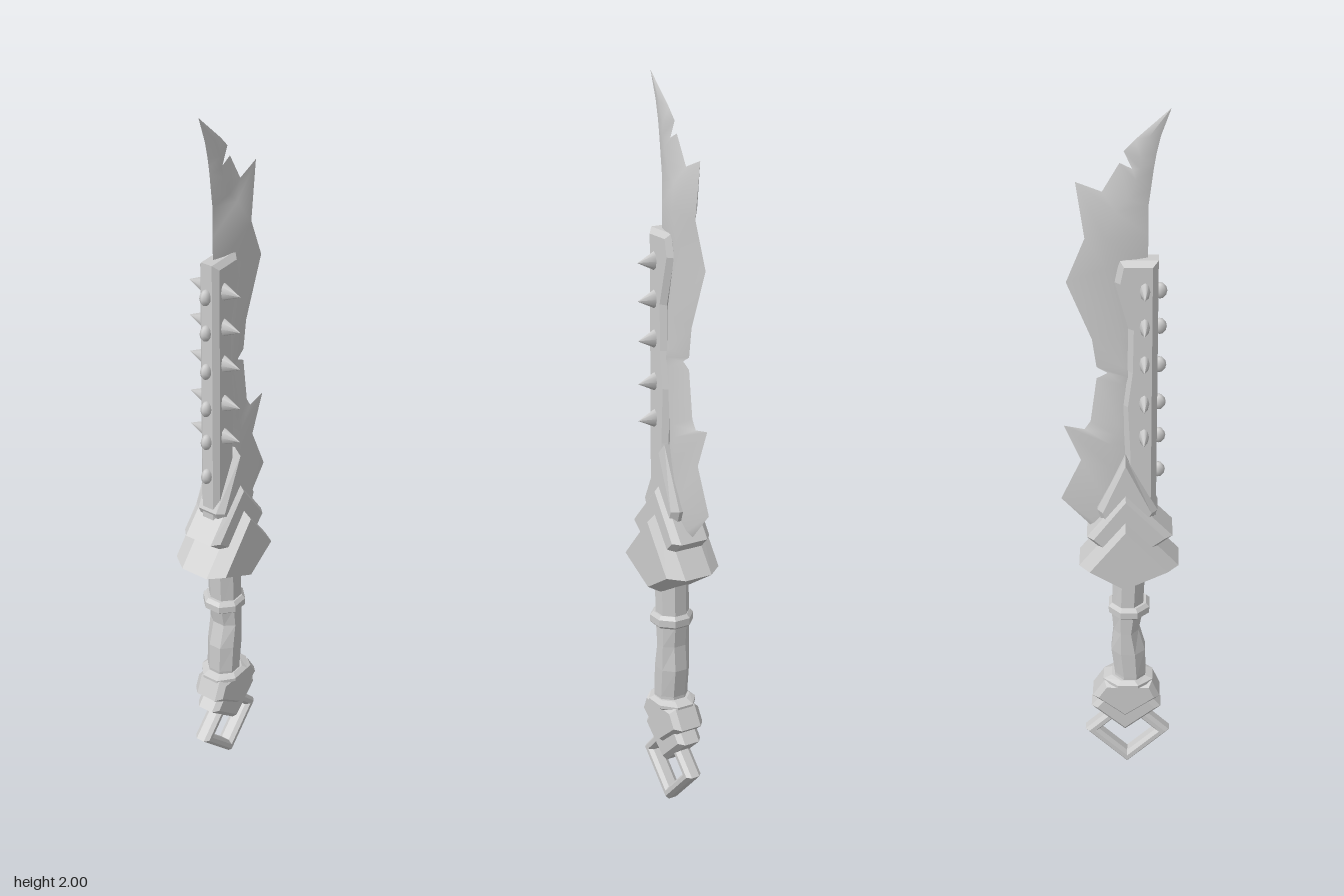
import * as THREE from 'three';

const grey = new THREE.MeshStandardMaterial({ color: 0xcccccc });
const flat = new THREE.MeshStandardMaterial({ color: 0xcccccc, flatShading: true });
const bladeMat = new THREE.MeshStandardMaterial({ color: 0xcccccc, side: THREE.DoubleSide });

function add(group, name, geometry, material = flat) {
  const mesh = new THREE.Mesh(geometry, material);
  mesh.name = name;
  group.add(mesh);
  return mesh;
}

const toVectors = pts => pts.map(p => new THREE.Vector2(p[0], p[1]));

// Chamfered plate, symmetric in z: rim is the half depth at the outline,
// face the half depth at the inset front and back.
function plate(points, rim, face, inset, hole) {
  const shape = new THREE.Shape(toVectors(points));
  if (hole) shape.holes.push(new THREE.Path(toVectors(hole)));
  return new THREE.ExtrudeGeometry(shape, {
    depth: 2 * rim, bevelEnabled: true, bevelSegments: 1,
    bevelThickness: face - rim, bevelSize: inset, bevelOffset: -inset
  }).translate(0, 0, -rim);
}

// Eight-sided loft along y; each ring is [centreX, y, halfX, halfZ].
function octLoft(rings) {
  const pos = [], idx = [], n = 8;
  for (const [cx, y, rx, rz] of rings)
    for (let i = 0; i < n; i++) {
      const a = (i + 0.5) / n * Math.PI * 2, k = 1 / Math.cos(Math.PI / n);
      pos.push(cx + Math.cos(a) * rx * k, y, Math.sin(a) * rz * k);
    }
  for (let r = 0; r < rings.length - 1; r++)
    for (let i = 0; i < n; i++) {
      const a = r * n + i, b = r * n + (i + 1) % n;
      idx.push(a, a + n, b, b, a + n, b + n);
    }
  const top = (rings.length - 1) * n;
  for (let i = 1; i < n - 1; i++) {
    idx.push(0, i, i + 1);
    idx.push(top, top + i + 1, top + i);
  }
  const g = new THREE.BufferGeometry();
  g.setAttribute('position', new THREE.Float32BufferAttribute(pos, 3));
  g.setIndex(idx);
  return g;
}

// Ragged blade: each row is spine x,y, ridge x,y,z and cutting edge x,y.
function bladeGeometry() {
  const rows = [
    [-.122, 2.0, -.122, 2.0, 0, -.122, 2.0],
    [-.098, 1.93, -.07, 1.93, .008, -.037, 1.92],
    [-.088, 1.885, -.05, 1.88, .01, -.01, 1.89],
    [-.084, 1.86, -.05, 1.85, .011, -.03, 1.845],
    [-.081, 1.84, -.04, 1.82, .012, 0, 1.86],
    [-.075, 1.79, -.02, 1.77, .013, .042, 1.785],
    [-.07, 1.75, .01, 1.74, .015, .106, 1.81],
    [-.07, 1.67, .035, 1.68, .038, .085, 1.66],
    [-.07, 1.58, .03, 1.59, .02, .132, 1.54],
    [-.07, 1.4, .0, 1.4, .02, .069, 1.38],
    [-.07, 1.31, -.01, 1.31, .02, .058, 1.30],
    [-.07, 1.28, -.02, 1.283, .02, .03, 1.283],
    [-.07, 1.26, -.01, 1.26, .02, .058, 1.267],
    [-.07, 1.14, .0, 1.14, .02, .074, 1.14],
    [-.07, 1.1, .01, 1.11, .02, .09, 1.115],
    [-.07, 1.08, .02, 1.08, .02, .143, 1.125],
    [-.07, 1.0, .02, 1.01, .022, .10, 1.02],
    [-.07, .88, .03, .9, .024, .153, .90],
    [-.07, .78, .0, .78, .022, .053, .79]
  ];
  const pos = [], idx = [];
  for (const s of [1, -1]) {
    const base = pos.length / 3;
    for (const [xl, yl, xm, ym, zm, xr, yr] of rows)
      pos.push(xl, yl, 0, xm, ym, s * zm, xr, yr, 0);
    for (let r = 0; r < rows.length - 1; r++)
      for (let c = 0; c < 2; c++) {
        const a = base + r * 3 + c, b = a + 1, d = a + 3, e = a + 4;
        if (s > 0) idx.push(a, d, b, b, d, e);
        else idx.push(a, b, d, b, e, d);
      }
  }
  const g = new THREE.BufferGeometry();
  g.setAttribute('position', new THREE.Float32BufferAttribute(pos, 3));
  g.setIndex(idx);
  g.computeVertexNormals();
  return g;
}

export function createModel() {
  const model = new THREE.Group();
  model.name = 'sword';

  add(model, 'blade', bladeGeometry(), bladeMat);

  // Heavy sheath along the spine of the blade
  add(model, 'spineSheath', plate([
    [-.096, .8], [-.01, .8], [-.015, 1.05], [-.008, 1.2], [-.02, 1.3],
    [-.022, 1.42], [.012, 1.55], [0, 1.61], [-.096, 1.61]
  ], .016, .029, .014));

  // Studs on both faces and along the back of the sheath
  const stud = new THREE.ConeGeometry(1, 1, 8).translate(0, .5, 0);
  const studs = new THREE.Group();
  studs.name = 'studs';
  model.add(studs);
  for (const y of [1.53, 1.43, 1.325, 1.21, 1.11])
    for (const s of [1, -1]) {
      const m = add(studs, 'faceStud', stud, grey);
      m.position.set(-.063, y, s * .026);
      m.rotation.x = s * Math.PI / 2;
      m.scale.set(.014, .052, .026);
    }
  const backStud = new THREE.SphereGeometry(1, 8, 6);
  for (const y of [1.52, 1.42, 1.31, 1.2, 1.1, .995]) {
    const m = add(studs, 'backStud', backStud, grey);
    m.position.set(-.1, y, 0);
    m.scale.set(.018, .022, .014);
  }

  // Guard of three stacked diamonds
  add(model, 'upperGuard', plate(
    [[-.016, 1.05], [.058, .885], [.03, .8], [-.06, .8], [-.1, .885]], .028, .046, .014));
  add(model, 'middleGuard', plate(
    [[-.016, .945], [.086, .805], [.05, .77], [-.09, .77], [-.14, .812]], .04, .058, .014));
  add(model, 'mainGuard', plate(
    [[-.016, .875], [.107, .712], [-.014, .637], [-.158, .715]], .04, .081, .021));

  // Grip with collars
  add(model, 'grip', octLoft([
    [-.026, .28, .041, .04], [-.03, .33, .042, .042], [-.024, .41, .046, .043],
    [-.018, .48, .034, .042], [-.021, .54, .042, .042], [-.026, .68, .043, .042]
  ]));
  add(model, 'gripCollar', octLoft([
    [-.026, .535, .046, .046], [-.026, .543, .055, .054],
    [-.026, .562, .055, .054], [-.026, .572, .046, .046]
  ]));
  add(model, 'lowerCollar', octLoft([
    [-.024, .295, .06, .045], [-.024, .304, .068, .057],
    [-.024, .313, .068, .057], [-.024, .322, .045, .045]
  ]));

  // Pommel of two chevron plates
  add(model, 'upperPommel', plate(
    [[-.09, .31], [.042, .31], [.074, .258], [-.016, .185], [-.112, .258]], .03, .046, .013));
  add(model, 'lowerPommel', plate(
    [[-.085, .25], [.05, .25], [.078, .215], [-.016, .13], [-.115, .215]], .022, .036, .012));

  // Open diamond loop at the end
  const diamond = r => [[-.022, .12 + r], [-.022 + r, .12], [-.022, .12 - r], [-.022 - r, .12]];
  add(model, 'pommelLoop', plate(diamond(.118), .012, .023, .008, diamond(.079).reverse()));

  return model;
}
